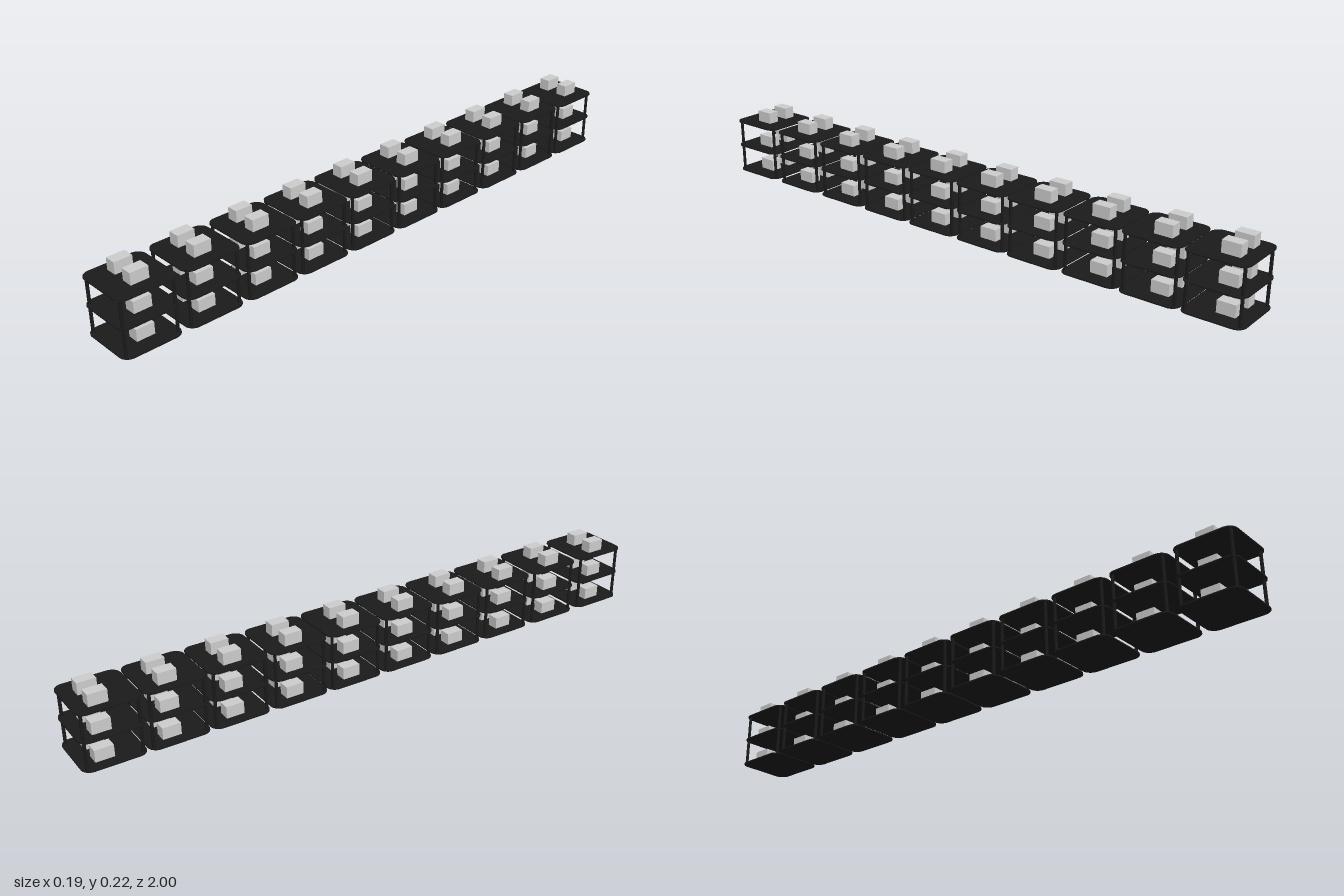
import * as THREE from 'three';

const dark = new THREE.MeshStandardMaterial({ color: 0x1a1a1a });
const grey = new THREE.MeshStandardMaterial({ color: 0xcccccc });

const SIZE = 0.193, THICK = 0.004, RADIUS = 0.03;
const SHELF_Y = [0, 0.0917, 0.18];
const UNIT_Z = [0.903, 0.693, 0.488, 0.288, 0.088, -0.111, -0.308, -0.509, -0.706, -0.9035];

// Thin square shelf with rounded corners, lying flat with its underside at y = 0
function shelfGeometry() {
  const h = SIZE / 2, c = h - RADIUS;
  const shape = new THREE.Shape();
  shape.absarc(c, c, RADIUS, 0, Math.PI / 2);
  shape.absarc(-c, c, RADIUS, Math.PI / 2, Math.PI);
  shape.absarc(-c, -c, RADIUS, Math.PI, Math.PI * 1.5);
  shape.absarc(c, -c, RADIUS, Math.PI * 1.5, Math.PI * 2);
  const geometry = new THREE.ExtrudeGeometry(shape, { depth: THICK, bevelEnabled: false, curveSegments: 8 });
  return geometry.rotateX(-Math.PI / 2);
}

function addMesh(parent, name, geometry, material, x, y, z) {
  const mesh = new THREE.Mesh(geometry, material);
  mesh.name = name;
  mesh.position.set(x, y, z);
  parent.add(mesh);
}

export function createModel() {
  const model = new THREE.Group();
  model.name = 'shelfRow';

  const shelf = shelfGeometry();
  const postHeight = SHELF_Y[2];
  const post = new THREE.CylinderGeometry(0.005, 0.005, postHeight, 16);
  const box = new THREE.BoxGeometry(0.037, 0.038, 0.058);

  UNIT_Z.forEach((z, i) => {
    const unit = new THREE.Group();
    unit.name = `shelfUnit${i + 1}`;
    unit.position.z = z;
    model.add(unit);

    // Boxes are spaced evenly along the row, so they drift slightly on the shelves
    const boxZ = 0.901 - 0.2031 * i - z;
    SHELF_Y.forEach((y, tier) => {
      addMesh(unit, 'shelf', shelf, dark, 0, y, 0);
      const boxY = y + THICK + 0.019 + (tier === 0 ? 0.003 : 0);
      for (const x of [-0.0465, 0.0285]) addMesh(unit, 'box', box, grey, x, boxY, boxZ);
    });

    // Corner posts
    for (const x of [-0.081, 0.079])
      for (const pz of [-0.083, 0.083])
        addMesh(unit, 'post', post, dark, x, postHeight / 2 + THICK / 2, pz);
  });

  return model;
}
